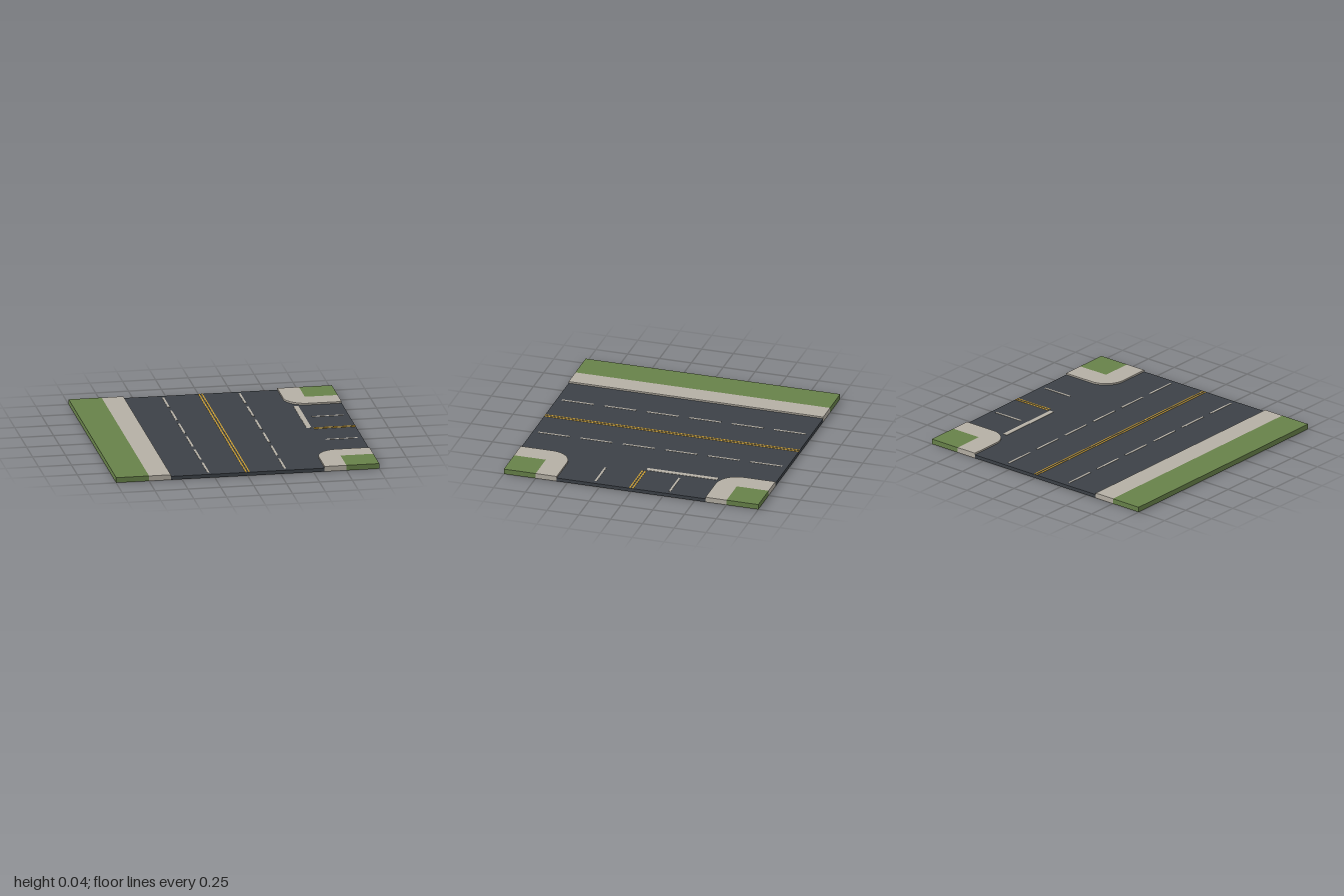
import * as THREE from 'three';
import { mergeGeometries, toCreasedNormals } from 'three/addons/utils/BufferGeometryUtils.js';

const ROAD_TOP = 0.027;
const KERB_TOP = 0.04;
const KERB = 0.585; // kerb line, distance from the centre
const LAWN = 0.75;  // where pavement meets grass

const mat = (name, color, side = THREE.FrontSide) => {
  const m = new THREE.MeshStandardMaterial({ color, side });
  m.name = name;
  return m;
};

// Plan points are [x, -z], counter-clockwise from above.
const toShape = (pts) => new THREE.Shape(pts.map(([x, y]) => new THREE.Vector2(x, y)));

// Raised slab, open underneath: a flat top with walls hanging along `path`.
// `inner` points complete the outline of the top without a wall.
function slabGeometry(path, inner = []) {
  const top = new THREE.ShapeGeometry(toShape([...path, ...inner])).toNonIndexed();
  top.rotateX(-Math.PI / 2).translate(0, KERB_TOP, 0);
  top.deleteAttribute('uv');
  const pos = [];
  for (let i = 0; i < path.length - 1; i++) {
    const [ax, ay] = path[i], [bx, by] = path[i + 1];
    const a0 = [ax, 0, -ay], b0 = [bx, 0, -by];
    const a1 = [ax, KERB_TOP, -ay], b1 = [bx, KERB_TOP, -by];
    pos.push(...a0, ...b0, ...b1, ...a0, ...b1, ...a1);
  }
  const walls = new THREE.BufferGeometry();
  walls.setAttribute('position', new THREE.Float32BufferAttribute(pos, 3));
  walls.computeVertexNormals();
  return toCreasedNormals(mergeGeometries([top, walls]), Math.PI / 6);
}

export function createModel() {
  const group = new THREE.Group();
  const asphalt = mat('asphalt', 0x3c4147);
  const pavement = mat('pavement', 0xb5afa4, THREE.DoubleSide);
  const grass = mat('grass', 0x678149, THREE.DoubleSide);
  const paleLine = mat('paleLine', 0xb5afa4);
  const yellowLine = mat('yellowLine', 0xc79c36);

  const add = (name, geometry, material) => {
    const mesh = new THREE.Mesh(geometry, material);
    mesh.name = name;
    group.add(mesh);
  };

  // Road bed: main road plus side road, reaching under the rounded corners
  const roadShape = toShape([
    [-KERB, -1], [KERB, -1], [KERB, -LAWN], [LAWN, -LAWN], [LAWN, -KERB], [1, -KERB],
    [1, KERB], [LAWN, KERB], [LAWN, LAWN], [KERB, LAWN], [KERB, 1], [-KERB, 1],
  ]);
  const road = new THREE.ExtrudeGeometry(roadShape, { depth: ROAD_TOP, bevelEnabled: false });
  add('road', road.rotateX(-Math.PI / 2), asphalt);

  // Straight pavement and verge along the closed side
  add('straightPavement', slabGeometry([[-LAWN, -1], [-KERB, -1], [-KERB, 1], [-LAWN, 1]]), pavement);
  add('straightVerge', slabGeometry([[-LAWN, 1], [-1, 1], [-1, -1], [-LAWN, -1]]), grass);

  // Rounded pavement corners with grass squares
  const corner = [[LAWN, 1], [KERB, 1]];
  const steps = 16, radius = LAWN - KERB;
  for (let i = 0; i <= steps; i++) {
    const a = Math.PI + (i / steps) * Math.PI / 2;
    corner.push([LAWN + radius * Math.cos(a), LAWN + radius * Math.sin(a)]);
  }
  corner.push([1, KERB], [1, LAWN]);
  const square = [[LAWN, LAWN], [1, LAWN], [1, 1], [LAWN, 1], [LAWN, LAWN]];
  for (const [label, s] of [['back', 1], ['front', -1]]) {
    const place = (pts) => {
      const out = pts.map(([x, y]) => [x, y * s]);
      return s < 0 ? out.reverse() : out;
    };
    add(label + 'CornerPavement', slabGeometry(place(corner), [[LAWN, LAWN * s]]), pavement);
    add(label + 'CornerGrass', slabGeometry(place(square)), grass);
  }

  // Painted markings, given by their x and z extents
  const paint = (name, material, x0, x1, z0, z1) => {
    const g = new THREE.BoxGeometry(x1 - x0, 0.002, z1 - z0);
    add(name, g.translate((x0 + x1) / 2, ROAD_TOP + 0.001, (z0 + z1) / 2), material);
  };
  for (const s of [-1, 1]) {
    const lane = s * 0.291, mid = s * 0.0115;
    for (let i = 0; i < 6; i++) {
      const z = -5 / 6 + i / 3;
      paint('laneDash', paleLine, lane - 0.008, lane + 0.008, z - 0.125, z + 0.125);
    }
    paint('sideLaneDash', paleLine, 0.72, 0.962, lane - 0.008, lane + 0.008);
    paint('centreLine', yellowLine, mid - 0.0055, mid + 0.0055, -1, 1);
    paint('sideCentreLine', yellowLine, 0.683, 1, mid - 0.0055, mid + 0.0055);
  }
  paint('stopLine', paleLine, 0.63, 0.668, -0.568, -0.012);

  return group;
}
